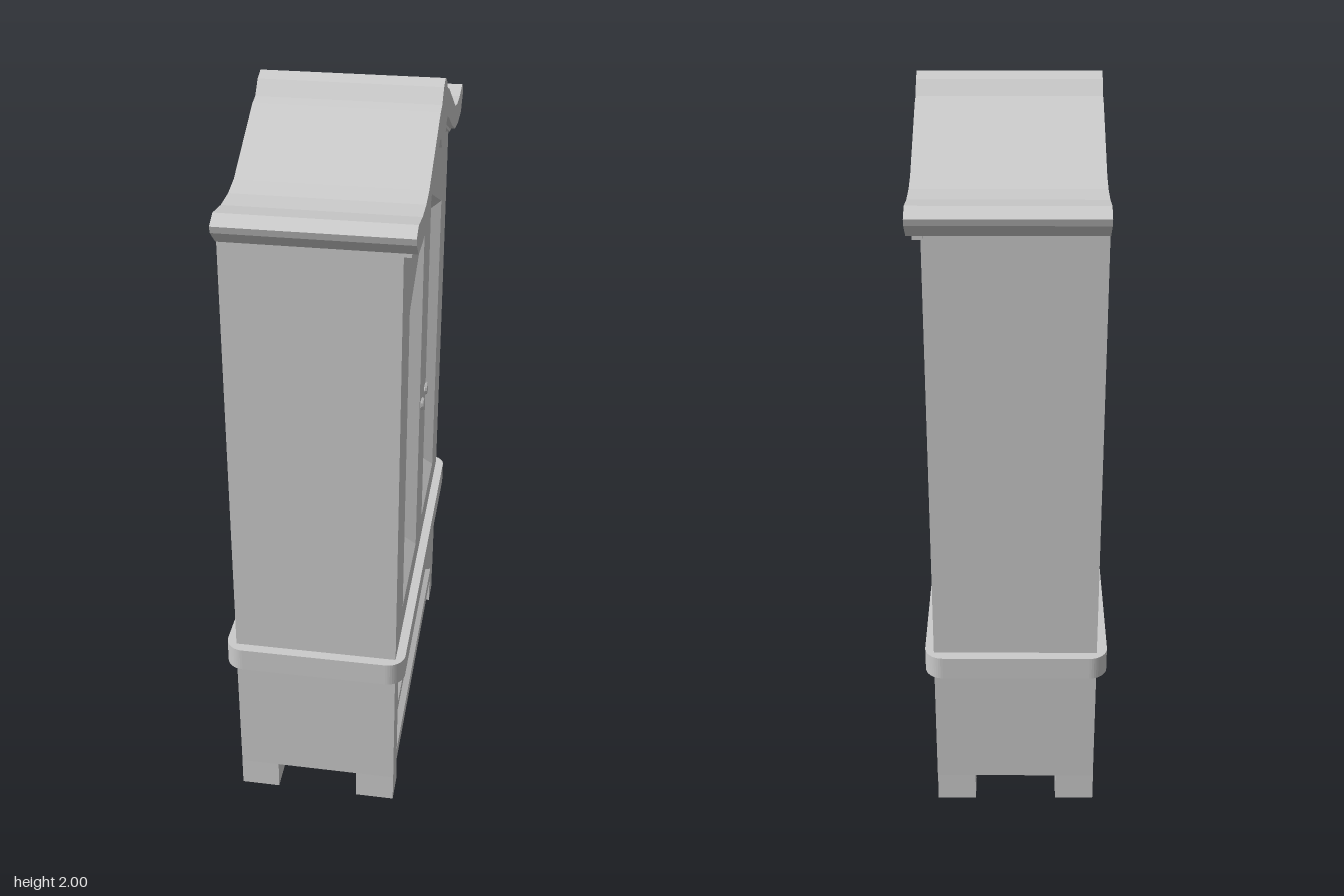
import * as THREE from 'three';
import { mergeGeometries } from 'three/addons/utils/BufferGeometryUtils.js';

const material = new THREE.MeshStandardMaterial({ color: 0xcccccc, flatShading: true });
const BACK = -0.23, FRONT = 0.22;

function add(parent, name, geometry) {
  const mesh = new THREE.Mesh(geometry, material);
  mesh.name = name;
  parent.add(mesh);
  return mesh;
}

const toShape = (pts) => new THREE.Shape(pts.map(([x, y]) => new THREE.Vector2(x, y)));

// Mirrors a half outline (from the left edge to the centre line) to a full curve
const mirrorCurve = (half) => [...half, ...half.slice(0, -1).reverse().map(([x, y]) => [-x, y])];

// Walls joining two counter-clockwise loops at different depths
function bridge(a, za, b, zb) {
  const p = [];
  a.forEach((a0, i) => {
    const j = (i + 1) % a.length;
    const A = [...a0, za], B = [...a[j], za], C = [...b[j], zb], D = [...b[i], zb];
    p.push(...A, ...B, ...C, ...A, ...C, ...D);
  });
  const g = new THREE.BufferGeometry();
  g.setAttribute('position', new THREE.Float32BufferAttribute(p, 3));
  g.computeVertexNormals();
  return g;
}

function face(pts, z, holes = []) {
  const shape = toShape(pts);
  holes.forEach((h) => shape.holes.push(toShape(h)));
  const g = new THREE.ShapeGeometry(shape).toNonIndexed();
  g.deleteAttribute('uv');
  return g.translate(0, 0, z);
}

// Carcass with openings in its front; each recess has sloping sides and a sunken panel
function carcass(parent, name, outline, recesses, depth, panelName) {
  add(parent, name, mergeGeometries([
    bridge(outline, BACK + 0.001, outline, FRONT),
    face(outline, FRONT, recesses.map((r) => r.outer)),
    face(outline, -BACK - 0.001).rotateY(Math.PI),
  ]));
  recesses.forEach(({ outer, inner }) => add(parent, panelName, mergeGeometries([
    bridge(outer, FRONT, inner, FRONT - depth),
    face(inner, FRONT - depth),
  ])));
}

const rect = (x, y0, y1) => [[-x, y0], [x, y0], [x, y1], [-x, y1]];
const mirrorLoop = (pts) => pts.map(([x, y]) => [-x, y]).reverse();

export function createModel() {
  const model = new THREE.Group();
  model.name = 'wardrobe';
  // Modelled with the doors on +z, then turned to face +x
  const body = new THREE.Group();
  body.name = 'wardrobeBody';
  body.rotation.y = Math.PI / 2;
  model.add(body);

  // Curved crown
  const crownTop = mirrorCurve([
    [-0.595, 1.8], [-0.557, 1.82], [-0.477, 1.808], [-0.4, 1.809], [-0.338, 1.822],
    [-0.147, 1.922], [-0.106, 1.943], [-0.072, 1.951], [-0.037, 1.987], [0, 2],
  ]);
  const lowerEdge = mirrorCurve([
    [-0.59, 1.782], [-0.545, 1.742], [-0.455, 1.737], [-0.35, 1.752], [-0.245, 1.796],
    [-0.14, 1.851], [-0.095, 1.868], [-0.068, 1.86], [-0.042, 1.829], [0, 1.816],
  ]);
  add(body, 'crown', new THREE.ExtrudeGeometry(
    toShape([...lowerEdge, ...crownTop.slice().reverse()]),
    { depth: 0.485, bevelEnabled: false }).translate(0, 0, BACK));

  // Thin moulding under the crown's front edge
  const lipEdge = lowerEdge.slice(1, -1);
  add(body, 'crownLip', new THREE.ExtrudeGeometry(
    toShape([...lipEdge.map(([x, y]) => [x, y - 0.01]),
      ...lipEdge.slice().reverse().map(([x, y]) => [x, y + 0.01])]),
    { depth: 0.025, bevelEnabled: false }).translate(0, 0, FRONT - 0.005));

  // Upper cabinet with two slant-topped door panels
  const upperTop = lowerEdge.slice(2, -2).map(([x, y]) => [x, y + 0.03]);
  const upperOutline = [[-0.532, 0.5], [0.532, 0.5], [0.54, 1.76], ...upperTop.reverse(), [-0.54, 1.76]];
  const leftDoor = {
    outer: [[-0.387, 0.6], [-0.077, 0.6], [-0.077, 1.655], [-0.387, 1.517]],
    inner: [[-0.372, 0.637], [-0.087, 0.637], [-0.087, 1.615], [-0.372, 1.483]],
  };
  const rightDoor = { outer: mirrorLoop(leftDoor.outer), inner: mirrorLoop(leftDoor.inner) };
  carcass(body, 'upperCabinet', upperOutline, [leftDoor, rightDoor], 0.045, 'doorPanel');

  // Lower cabinet with two drawers
  const lowerOutline = [[-0.528, 0.085], [0.528, 0.085], [0.536, 0.48], [-0.536, 0.48]];
  const drawers = [0.128, 0.305].map((y) => ({
    outer: rect(0.455, y, y + 0.15),
    inner: rect(0.403, y + 0.025, y + 0.127),
  }));
  carcass(body, 'lowerCabinet', lowerOutline, drawers, 0.04, 'drawerFront');

  // Waist band with rounded corners
  const x = 0.56, z0 = -0.258, z1 = 0.245, r = 0.05;
  const band = new THREE.Shape();
  band.absarc(x - r, z1 - r, r, 0, Math.PI / 2);
  band.absarc(-x + r, z1 - r, r, Math.PI / 2, Math.PI);
  band.absarc(-x + r, z0 + r, r, Math.PI, Math.PI * 1.5);
  band.absarc(x - r, z0 + r, r, Math.PI * 1.5, Math.PI * 2);
  add(body, 'waistBand', new THREE.ExtrudeGeometry(band, { depth: 0.067, bevelEnabled: false, curveSegments: 6 })
    .rotateX(Math.PI / 2).scale(1, 1, 1).translate(0, 0.525, 0));

  // Feet
  for (const side of [-1, 1]) {
    for (const z of [BACK + 0.055, FRONT - 0.055]) {
      add(body, 'foot', new THREE.BoxGeometry(0.083, 0.09, 0.109)).position.set(side * 0.4855, 0.045, z);
    }
  }

  // Knobs on doors and drawers
  const profile = [[0.009, 0], [0.009, 0.005], [0.02, 0.008], [0.016, 0.014], [0, 0.016]];
  const knob = new THREE.LatheGeometry(profile.map(([px, py]) => new THREE.Vector2(px, py)), 12)
    .rotateX(Math.PI / 2);
  for (const side of [-1, 1]) {
    add(body, 'doorKnob', knob).position.set(side * 0.047, 1.067, FRONT - 0.005);
    for (const y of [0.19, 0.367]) {
      add(body, 'drawerKnob', knob).position.set(side * 0.302, y, FRONT - 0.04);
    }
  }
  return model;
}
